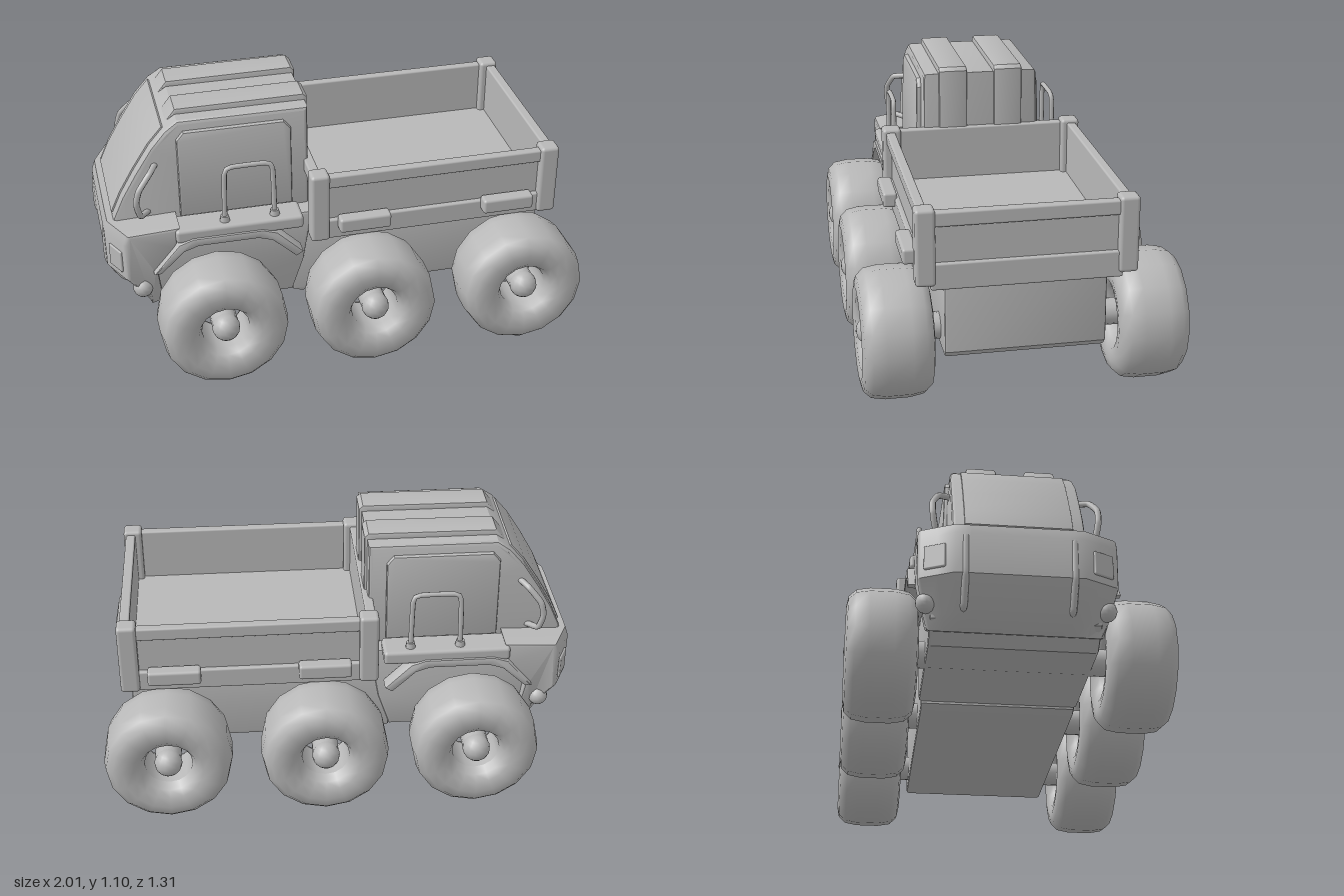
import * as THREE from 'three';
import { toCreasedNormals } from 'three/addons/utils/BufferGeometryUtils.js';
import { RoundedBoxGeometry } from 'three/addons/geometries/RoundedBoxGeometry.js';

const grey = new THREE.MeshStandardMaterial({ color: 0xb8b8b8 });
grey.name = 'plain grey';

export function createModel() {
  const truck = new THREE.Group();
  truck.name = 'truck';

  const add = (name, geometry) => {
    const mesh = new THREE.Mesh(geometry, grey);
    mesh.name = name;
    truck.add(mesh);
    return mesh;
  };
  // Box given by its limits along each axis
  const box = (name, x0, x1, y0, y1, z0, z1, r = 0.01) => {
    const mesh = add(name, new RoundedBoxGeometry(x1 - x0, y1 - y0, z1 - z0, 2, r));
    mesh.position.set((x0 + x1) / 2, (y0 + y1) / 2, (z0 + z1) / 2);
    return mesh;
  };
  const tube = (name, points, radius) => {
    const curve = new THREE.CatmullRomCurve3(points.map(p => new THREE.Vector3(...p)), false, 'catmullrom', 0.25);
    return add(name, new THREE.TubeGeometry(curve, 30, radius, 8));
  };
  // Side profile extruded across z, then bent by a rule for each vertex
  const profile = (name, points, z0, z1, rule, bevel = 0, steps = 1) => {
    const shape = new THREE.Shape(points.map(p => new THREE.Vector2(...p)));
    const g = new THREE.ExtrudeGeometry(shape, {
      depth: z1 - z0 - 2 * bevel, steps, bevelEnabled: bevel > 0,
      bevelThickness: bevel, bevelSize: bevel, bevelOffset: -bevel, bevelSegments: 2,
    });
    g.translate(0, 0, z0 + bevel);
    if (rule) {
      const p = g.attributes.position, v = new THREE.Vector3();
      for (let i = 0; i < p.count; i++) {
        rule(v.fromBufferAttribute(p, i));
        p.setXYZ(i, v.x, v.y, v.z);
      }
    }
    return add(name, toCreasedNormals(g, 0.6));
  };

  // Wheels: fat tyres with a straight bore, hub knobs and axles
  const half = [[0.268, 0.05], [0.258, 0.105], [0.23, 0.135], [0.19, 0.143], [0.145, 0.137], [0.118, 0.115], [0.1, 0.08]];
  const ring = [
    ...half.slice().reverse().map(([r, y]) => new THREE.Vector2(r, -y)),
    ...half.map(([r, y]) => new THREE.Vector2(r, y)),
  ];
  ring.push(ring[0].clone());
  const tyreGeometry = new THREE.LatheGeometry(ring, 16).rotateX(Math.PI / 2);
  const hubGeometry = new THREE.SphereGeometry(0.058, 14, 10);
  const axleGeometry = new THREE.CylinderGeometry(0.055, 0.055, 1.2, 14).rotateX(Math.PI / 2);
  for (const x of [-0.56, 0.075, 0.732]) {
    add('axle', axleGeometry).position.set(x, 0.283, 0);
    for (const s of [-1, 1]) {
      add('tyre', tyreGeometry).position.set(x, 0.272, s * 0.51);
      add('hubKnob', hubGeometry).position.set(x, 0.283, s * 0.6);
    }
  }

  // Rear chassis
  profile('chassis', [[-0.22, 0.22], [-0.18, 0.205], [0.86, 0.205], [0.88, 0.23], [0.88, 0.535], [-0.22, 0.535]],
    -0.325, 0.325, null, 0.012);

  // Cargo bed: floor, framed walls, corner posts and latches
  box('bedFloor', -0.13, 0.89, 0.53, 0.6, -0.4, 0.4);
  for (const s of [-1, 1]) {
    const side = (name, y0, y1, a, b) =>
      box(name, -0.12, 0.88, y0, y1, s > 0 ? a : -b, s > 0 ? b : -a, 0.008);
    side('sidePanel', 0.56, 0.82, 0.385, 0.405);
    side('sideTopRail', 0.775, 0.83, 0.385, 0.425);
    side('sideLowerRail', 0.53, 0.62, 0.385, 0.425);
    for (const x of [0.065, 0.69])
      box('latch', x - 0.11, x + 0.11, 0.58, 0.645, s * 0.445 - 0.03, s * 0.445 + 0.03, 0.012);
    for (const x of [-0.12, 0.875])
      box('cornerPost', x - 0.04, x + 0.04, 0.53, 0.845, s * 0.4 - 0.04, s * 0.4 + 0.04, 0.015);
  }
  for (const [x, s, name] of [[-0.12, -1, 'headboard'], [0.875, 1, 'tailgate']]) {
    const end = (part, y0, y1, t) =>
      box(name + part, x - 0.012 + (s < 0 ? -t : 0), x + 0.012 + (s > 0 ? t : 0), y0, y1, -0.38, 0.38, 0.008);
    end('Panel', 0.56, 0.82, 0);
    end('TopRail', 0.77, 0.83, 0.018);
    end('LowerRail', 0.51, 0.62, 0.018);
  }

  // Cab: lower body between the wheels, then the wide nose
  profile('lowerBody', [[-0.9, 0.6], [-0.86, 0.3], [-0.76, 0.23], [-0.22, 0.23], [-0.17, 0.38], [-0.13, 0.62]],
    -0.335, 0.335, null, 0.012);
  profile('nose', [[-0.985, 0.645], [-1, 0.6], [-0.998, 0.43], [-0.91, 0.31], [-0.83, 0.26], [-0.78, 0.28], [-0.8, 0.45], [-0.72, 0.56], [-0.7, 0.655]],
    -0.39, 0.39, v => {
      const out = Math.max(0, Math.abs(v.z) - 0.25);
      if (v.x < -0.84) v.x += out * 0.5;
      if (v.y < 0.43) v.z *= 1 - (0.43 - v.y) * 0.7;
    }, 0.012, 12);
  box('bumperStrip', -0.99, -0.95, 0.5, 0.53, -0.2, 0.2, 0.008);

  // Upper cab, nearly upright with chamfered roof edges
  const front = [[-0.955, 0.66], [-0.915, 0.75], [-0.855, 0.855], [-0.785, 0.965], [-0.725, 1.035]];
  profile('cabShell', [[-0.965, 0.6], ...front, [-0.67, 1.073], [-0.13, 1.073], [-0.13, 0.6]],
    -0.26, 0.26, v => { if (v.y > 1.0) v.z *= 1 - (v.y - 1.0) * 0.6; }, 0.015);
  // Roof ribs, continuing down the back wall
  for (const s of [-1, 1])
    profile('roofRib', [[-0.71, 1.045], [-0.67, 1.097], [-0.135, 1.1], [-0.118, 1.085], [-0.118, 0.6], [-0.2, 0.6], [-0.2, 1.05]],
      s * 0.122 - 0.063, s * 0.122 + 0.063, null, 0.01);

  // Curved windscreen following the sloping front
  const screenLine = front.map(([x, y]) => [x - 0.006, y + 0.004]);
  profile('windscreen', [...screenLine, ...front.map(([x, y]) => [x + 0.02, y - 0.01]).reverse()], -0.212, 0.212, null, 0.003);

  for (const s of [-1, 1]) {
    // Door leaning in slightly towards the roof
    profile('door', [[-0.68, 0.64], [-0.68, 0.995], [-0.65, 1.03], [-0.235, 1.03], [-0.205, 0.995], [-0.205, 0.64]],
      s > 0 ? 0.25 : -0.282, s > 0 ? 0.282 : -0.25, v => { if (v.y > 0.83) v.z *= 1 - (v.y - 0.83) * 0.2; }, 0.01);

    // Fender deck and arch trim
    box('fenderDeck', -0.72, -0.185, 0.59, 0.65, s * 0.345 - 0.065, s * 0.345 + 0.065, 0.015);
    profile('archTrim', [[-0.82, 0.46], [-0.79, 0.46], [-0.69, 0.555], [-0.63, 0.575], [-0.38, 0.575], [-0.32, 0.555],
      [-0.22, 0.46], [-0.19, 0.48], [-0.3, 0.59], [-0.36, 0.61], [-0.65, 0.61], [-0.71, 0.59]],
    s * 0.385 - 0.035, s * 0.385 + 0.035, null, 0.006);

    // Tubular deck rail with feet
    tube('deckRail', [[-0.51, 0.64, s * 0.365], [-0.505, 0.87, s * 0.365], [-0.48, 0.9, s * 0.362],
      [-0.33, 0.9, s * 0.362], [-0.305, 0.87, s * 0.365], [-0.3, 0.64, s * 0.365]], 0.011);
    for (const x of [-0.51, -0.3])
      add('railFoot', new THREE.CylinderGeometry(0.018, 0.022, 0.03, 10)).position.set(x, 0.66, s * 0.365);

    // Curved grab handle beside the windscreen
    tube('grabHandle', [[-0.77, 0.89, s * 0.25], [-0.8, 0.88, s * 0.305], [-0.85, 0.82, s * 0.33],
      [-0.865, 0.76, s * 0.33], [-0.85, 0.69, s * 0.315], [-0.81, 0.67, s * 0.25]], 0.013);

    // Headlamp, corner lamp and front guard loop
    add('headlamp', new THREE.SphereGeometry(0.042, 14, 10)).position.set(-0.865, 0.36, s * 0.35);
    const marker = box('cornerLamp', -0.008, 0.008, -0.05, 0.05, -0.045, 0.045, 0.006);
    marker.position.set(-0.962, 0.51, s * 0.325);
    marker.rotation.y = s * 0.46;
    tube('frontGuard', [[-0.96, 0.6, s * 0.21], [-0.99, 0.59, s * 0.21], [-0.99, 0.43, s * 0.21],
      [-0.93, 0.33, s * 0.21], [-0.89, 0.32, s * 0.21]], 0.014);
  }
  return truck;
}
